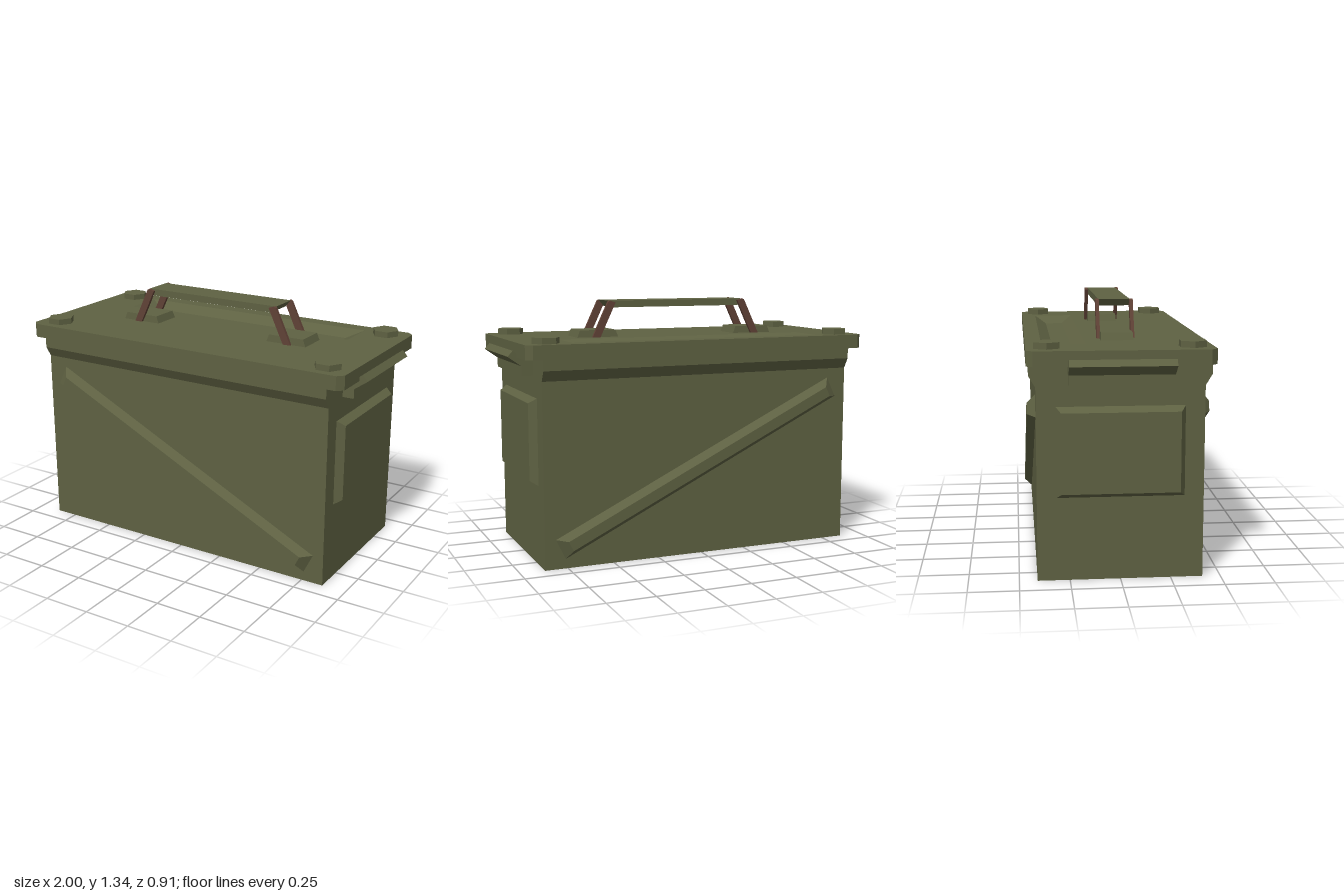
import * as THREE from 'three';

const green = new THREE.MeshStandardMaterial({ color: 0x5e6142 });
green.name = 'oliveGreen';
const brown = new THREE.MeshStandardMaterial({ color: 0x604236 });
brown.name = 'rustBrown';

// Tapered plate on z = 0 without its hidden base; a negative d makes a recess.
function taper(w0, h0, w1, h1, d) {
  const g = new THREE.BoxGeometry(1, 1, 1);
  const p = g.attributes.position;
  for (let i = 0; i < p.count; i++) {
    const top = p.getZ(i) > 0;
    p.setXYZ(i, p.getX(i) * (top ? w1 : w0), p.getY(i) * (top ? h1 : h0), top ? d : 0);
  }
  g.setIndex(Array.from(g.index.array).slice(0, 30));
  g.computeVertexNormals();
  return g;
}

// Closed outline extruded symmetrically about z = 0.
function prism(points, depth, holes = []) {
  const shape = new THREE.Shape(points.map(([x, y]) => new THREE.Vector2(x, y)));
  for (const h of holes) shape.holes.push(new THREE.Path(h.map(([x, y]) => new THREE.Vector2(x, y))));
  const g = new THREE.ExtrudeGeometry(shape, { depth, bevelEnabled: false });
  return g.translate(0, 0, -depth / 2);
}

export function createModel() {
  const group = new THREE.Group();
  const add = (name, geometry, material = green, x = 0, y = 0, z = 0) => {
    const mesh = new THREE.Mesh(geometry, material);
    mesh.name = name;
    mesh.position.set(x, y, z);
    group.add(mesh);
    return mesh;
  };

  // Body with a flared rim along front and back
  const half = [[0.41, 0], [0.41, 0.965], [0.443, 1.02], [0.443, 1.076]];
  const outline = [...half, ...half.map(([z, y]) => [-z, y]).reverse()];
  add('body', prism(outline, 1.74).rotateY(Math.PI / 2));

  // Lid with clipped corners and an opening for the recess
  const X = 0.955, Z = 0.455, c = 0.032;
  const lidOutline = [[X, -Z + c], [X, Z - c], [X - c, Z], [-X + c, Z], [-X, Z - c], [-X, -Z + c], [-X + c, -Z], [X - c, -Z]];
  const opening = [[-0.7, 0.155], [-0.7, 0.375], [0.7, 0.375], [0.7, 0.155]];
  add('lid', prism(lidOutline, 0.074, [opening]).rotateX(-Math.PI / 2), green, 0, 1.113, 0);
  add('lidRecess', taper(1.4, 0.22, 1.23, 0.095, -0.04).rotateX(-Math.PI / 2), green, 0, 1.15, -0.265);

  // Hexagonal lid bolts
  for (const x of [-0.83, 0.83]) for (const z of [-0.355, 0.35]) {
    const bolt = new THREE.CylinderGeometry(0.072, 0.072, 0.035, 6).toNonIndexed();
    bolt.rotateY(Math.PI / 6);
    bolt.computeVertexNormals();
    add('bolt', bolt, green, x, 1.1635, z);
  }

  // Diagonal ribs on front and back, both high at -x
  for (const s of [1, -1]) {
    const rib = add('diagonalRib', taper(1.746, 0.116, 1.65, 0.056, 0.042), green, 0, 0.482, s * 0.41);
    rib.rotation.set(0, s > 0 ? 0 : Math.PI, -s * 0.45, 'ZYX');
    if (s < 0) rib.rotation.z = -0.45;
  }

  // Raised panel and latch on each end
  for (const s of [1, -1]) {
    const panel = taper(0.63, 0.45, 0.58, 0.4, 0.04).rotateY(s * Math.PI / 2);
    add('endPanel', panel, green, s * 0.87, 0.645, 0);
    const latch = prism([[0.86, 0.98], [0.93, 0.98], [0.93, 1.03], [1, 1.08], [0.973, 1.11], [0.925, 1.076], [0.86, 1.076]], 0.51);
    if (s < 0) latch.rotateY(Math.PI);
    add('latch', latch);
  }

  // Handle: mounts, slanted legs and grip
  const hz = 0.01;
  for (const s of [1, -1]) {
    const mount = taper(0.23, 0.165, 0.2, 0.16, 0.038).rotateX(-Math.PI / 2);
    add('handleMount', mount, green, s * 0.46, 1.15, hz);
    for (const t of [1, -1]) {
      const leg = prism([[0.45, 1.15], [0.494, 1.15], [0.405, 1.338], [0.395, 1.344], [0.363, 1.334]], 0.018);
      if (s < 0) leg.rotateY(Math.PI);
      add('handleLeg', leg, brown, 0, 0, hz + t * 0.088);
    }
  }
  add('handleGrip', prism([[-0.37, 1.307], [0.37, 1.307], [0.4, 1.343], [-0.4, 1.343]], 0.162), green, 0, 0, hz);

  return group;
}
